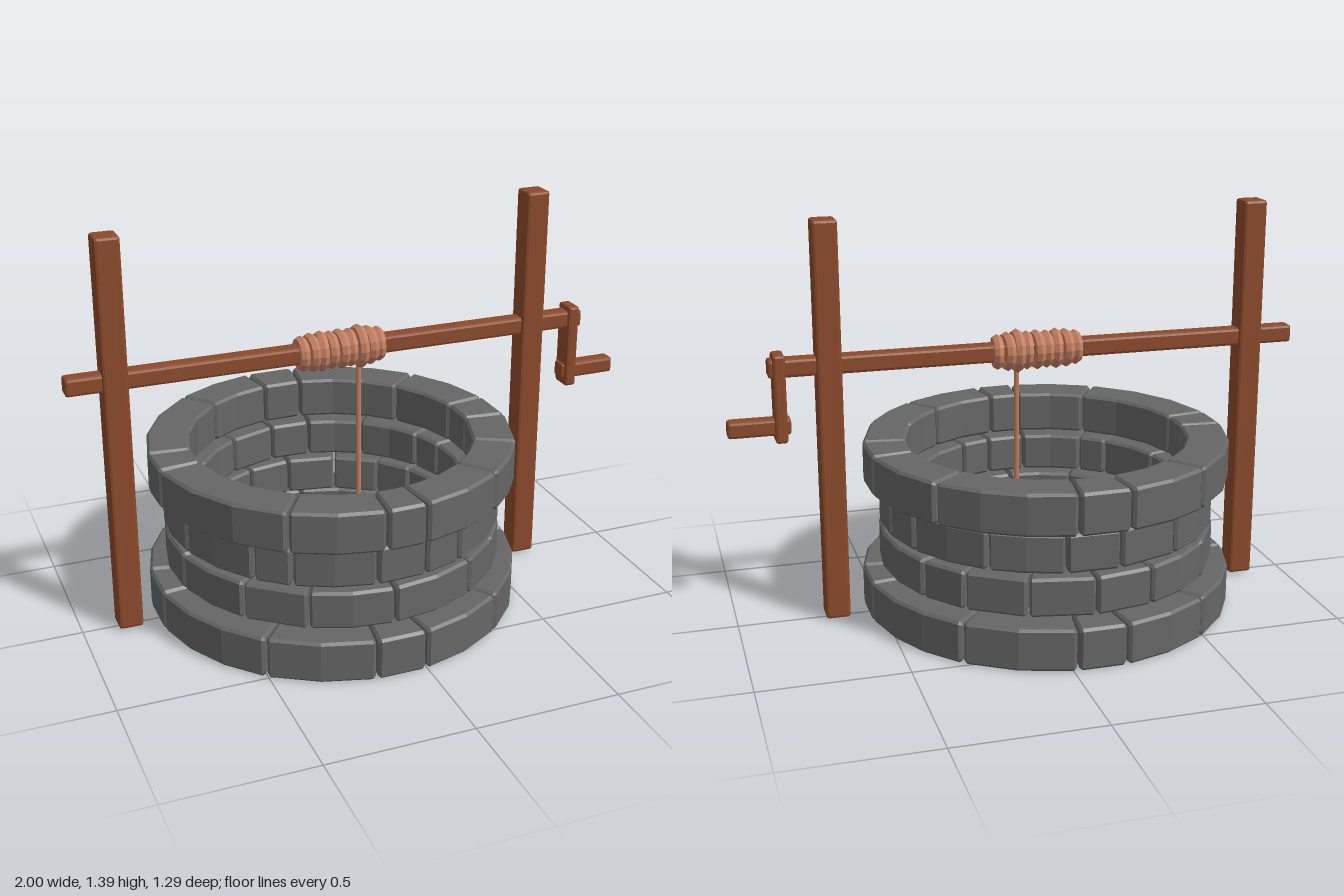
import * as THREE from 'three';
import { RoundedBoxGeometry } from 'three/addons/geometries/RoundedBoxGeometry.js';

const material = (color) => new THREE.MeshStandardMaterial({ color, flatShading: true });
const RAD = Math.PI / 180;

// Chamfered cross-section of a stone in (radius, height), counter-clockwise
function stoneSection(r0, r1, y0, y1, inset, c) {
  r0 += inset; r1 -= inset; y0 += inset; y1 -= inset;
  return [
    [r0 + c, y0], [r1 - c, y0], [r1, y0 + c], [r1, y1 - c],
    [r1 - c, y1], [r0 + c, y1], [r0, y1 - c], [r0, y0 + c],
  ];
}

// Curved stone block swept from angle a0 to a1 (degrees) with bevelled ends
function stoneGeometry(r0, r1, y0, y1, a0, a1) {
  const gap = 0.35, bevel = 0.9;
  const start = a0 + gap + bevel, end = a1 - gap - bevel;
  const steps = Math.max(1, Math.round((end - start) / 14));
  const angles = [a0 + gap];
  for (let i = 0; i <= steps; i++) angles.push(start + ((end - start) * i) / steps);
  angles.push(a1 - gap);

  const pos = [], idx = [], n = 8;
  angles.forEach((a, i) => {
    const isEnd = i === 0 || i === angles.length - 1;
    const c = Math.cos(a * RAD), s = Math.sin(a * RAD);
    for (const [r, y] of stoneSection(r0, r1, y0, y1, isEnd ? 0.009 : 0, isEnd ? 0.004 : 0.009)) {
      pos.push(r * c, y, r * s);
    }
  });
  for (let i = 0; i < angles.length - 1; i++) {
    for (let j = 0; j < n; j++) {
      const p = i * n + j, q = i * n + ((j + 1) % n);
      idx.push(p, q, p + n, q, q + n, p + n);
    }
  }
  const last = (angles.length - 1) * n;
  for (let j = 1; j < n - 1; j++) {
    idx.push(0, j + 1, j, last, last + j, last + j + 1);
  }
  const g = new THREE.BufferGeometry();
  g.setAttribute('position', new THREE.Float32BufferAttribute(pos, 3));
  g.setIndex(idx);
  g.computeVertexNormals();
  return g;
}

export function createModel() {
  const model = new THREE.Group();
  const stone = material(0x666666);
  const wood = material(0x8b4a2b);
  const rope = material(0xc58062);

  // Four courses of stones; joints are angles from +x towards +z
  const courses = [
    { name: 'baseCourse', r: [0.49, 0.647], y: [0.005, 0.15],
      joints: [7, 52, 82, 97.5, 130, 172, 188, 232, 262, 277, 311, 352] },
    { name: 'lowerCourse', r: [0.455, 0.587], y: [0.167, 0.299],
      joints: [14, 42, 59, 90, 118, 140, 168, 200, 222, 250, 270, 292, 313, 330] },
    { name: 'upperCourse', r: [0.455, 0.587], y: [0.318, 0.45],
      joints: [33, 65, 79, 96, 123, 136, 165, 190, 212, 240, 262, 280, 305, 334, 349] },
    { name: 'rimCourse', r: [0.49, 0.637], y: [0.461, 0.605],
      joints: [6.5, 28.5, 52.5, 82, 94.5, 123, 172, 185, 232.5, 261, 277, 320, 351] },
  ];
  const wall = new THREE.Group();
  wall.name = 'wellWall';
  wall.position.x = -0.093;
  for (const { name, r, y, joints } of courses) {
    const course = new THREE.Group();
    course.name = name;
    joints.forEach((a, i) => {
      const b = i + 1 < joints.length ? joints[i + 1] : joints[0] + 360;
      const block = new THREE.Mesh(stoneGeometry(r[0], r[1], y[0], y[1], a, b), stone);
      block.name = 'stone';
      course.add(block);
    });
    wall.add(course);
  }
  model.add(wall);

  // Chamfered timbers given by their extents
  const timber = (name, x0, x1, y0, y1, halfDepth) => {
    const g = new RoundedBoxGeometry(x1 - x0, y1 - y0, halfDepth * 2, 1, 0.01);
    const mesh = new THREE.Mesh(g, wood);
    mesh.name = name;
    mesh.position.set((x0 + x1) / 2, (y0 + y1) / 2, 0);
    model.add(mesh);
  };
  timber('rightPost', -0.88, -0.796, 0.01, 1.392, 0.042);
  timber('leftPost', 0.617, 0.701, 0.01, 1.392, 0.042);
  timber('axle', -1, 0.86, 0.877, 0.939, 0.03);
  timber('crankArm', 0.803, 0.845, 0.655, 0.957, 0.04);
  timber('crankHandle', 0.79, 1, 0.681, 0.738, 0.028);

  // Rope wound around the axle, with slightly uneven turns
  const coil = new THREE.Group();
  coil.name = 'ropeCoil';
  const radii = [0.043, 0.049, 0.052, 0.048, 0.051, 0.049, 0.058, 0.05, 0.043];
  radii.forEach((radius, i) => {
    const turn = new THREE.Mesh(new THREE.TorusGeometry(radius, 0.018, 6, 14), rope);
    turn.name = 'ropeTurn';
    turn.position.set(-0.196 + i * 0.0345, 0.908, 0);
    turn.rotation.y = Math.PI / 2 + 0.08 * Math.sin(i * 2.1);
    coil.add(turn);
  });
  model.add(coil);

  // Rope hanging into the well
  const hanging = new THREE.Mesh(new THREE.CylinderGeometry(0.009, 0.009, 0.74, 8), rope);
  hanging.name = 'hangingRope';
  hanging.position.set(0.011, 0.52, 0);
  model.add(hanging);

  return model;
}
